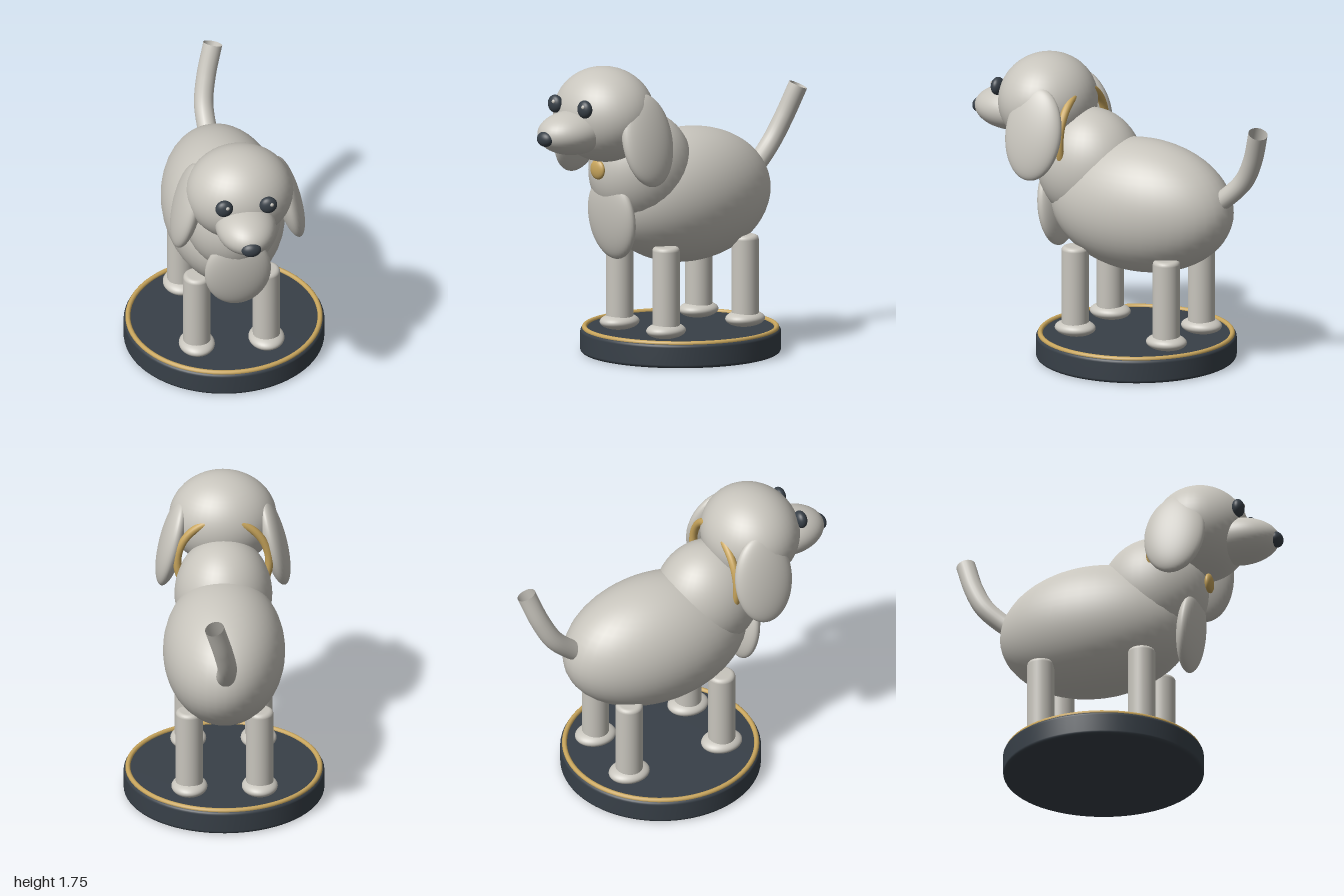
import * as THREE from 'three';

export function createModel() {
  const model = new THREE.Group();
  const coat = new THREE.MeshStandardMaterial({ color: 0xc8c5bd, side: THREE.DoubleSide });
  coat.name = 'warm grey coat';
  const slate = new THREE.MeshStandardMaterial({ color: 0x384048 });
  slate.name = 'dark slate';
  const gold = new THREE.MeshStandardMaterial({ color: 0xc8a55c });
  gold.name = 'gold';

  const add = (name, geometry, material, x = 0, y = 0, z = 0) => {
    const mesh = new THREE.Mesh(geometry, material);
    mesh.name = name;
    mesh.position.set(x, y, z);
    model.add(mesh);
    return mesh;
  };
  const ellipsoid = (name, material, [x, y, z], [rx, ry, rz]) =>
    add(name, new THREE.SphereGeometry(1, 40, 28).scale(rx, ry, rz), material, x, y, z);

  // Cylinder standing on y = 0 with rounded rims
  const roundedCylinder = (r, h, bevel, segments) => {
    const points = [new THREE.Vector2(0, 0)];
    for (let i = 0; i <= 5; i++) {
      const a = (i / 5) * Math.PI / 2;
      points.push(new THREE.Vector2(r - bevel + bevel * Math.sin(a), bevel - bevel * Math.cos(a)));
    }
    for (let i = 0; i <= 5; i++) {
      const a = (i / 5) * Math.PI / 2;
      points.push(new THREE.Vector2(r - bevel + bevel * Math.cos(a), h - bevel + bevel * Math.sin(a)));
    }
    points.push(new THREE.Vector2(0, h));
    return new THREE.LatheGeometry(points, segments);
  };

  // Round stand with a gold rim
  add('base', roundedCylinder(0.585, 0.142, 0.02, 72), slate, 0, 0, -0.09);
  add('baseRim', new THREE.TorusGeometry(0.56, 0.015, 12, 72).rotateX(Math.PI / 2), gold, 0, 0.143, -0.09);

  // Body, neck and chest tuft
  ellipsoid('body', coat, [0, 0.927, -0.13], [0.356, 0.395, 0.58]);
  ellipsoid('neck', coat, [0, 1.12, 0.22], [0.285, 0.34, 0.32]);
  ellipsoid('chestTuft', coat, [0, 0.855, 0.443], [0.195, 0.25, 0.066]).rotation.x = 0.12;

  // Legs and paws
  for (const side of [1, -1]) {
    for (const [end, z] of [['front', 0.203], ['back', -0.41]]) {
      add(end + 'Leg', roundedCylinder(0.08, 0.53, 0.025, 32), coat, side * 0.205, 0.15, z);
      ellipsoid(end + 'Paw', coat, [side * 0.205, 0.185, z], [0.105, 0.048, 0.124]);
    }
  }

  // Head, muzzle and nose
  ellipsoid('head', coat, [0, 1.474, 0.503], [0.315, 0.279, 0.284]);
  ellipsoid('muzzle', coat, [0, 1.393, 0.74], [0.176, 0.13, 0.235]);
  ellipsoid('nose', slate, [0, 1.378, 0.96], [0.058, 0.045, 0.04]);

  // Eyes with glints, and drooping ears
  for (const side of [1, -1]) {
    ellipsoid('eye', slate, [side * 0.13, 1.548, 0.767], [0.052, 0.053, 0.036]);
    ellipsoid('eyeGlint', coat, [side * 0.13 + 0.016, 1.566, 0.796], [0.012, 0.012, 0.008]);
    ellipsoid('ear', coat, [side * 0.298, 1.348, 0.43], [0.072, 0.275, 0.182]).rotation.z = side * 0.24;
  }

  // Collar and hanging tag
  add('collar', new THREE.TorusGeometry(0.268, 0.024, 14, 56), gold, 0, 1.3, 0.272);
  ellipsoid('collarTag', gold, [0, 1.15, 0.553], [0.058, 0.058, 0.024]);

  // Upright curved tail, open at the tip
  const tailPath = new THREE.CatmullRomCurve3([
    [0, 0.98, -0.6], [-0.005, 1.045, -0.69], [-0.01, 1.16, -0.805],
    [0.015, 1.3, -0.88], [0.065, 1.485, -0.945],
  ].map(p => new THREE.Vector3(...p)));
  add('tail', new THREE.TubeGeometry(tailPath, 32, 0.057, 20, false), coat);

  return model;
}
